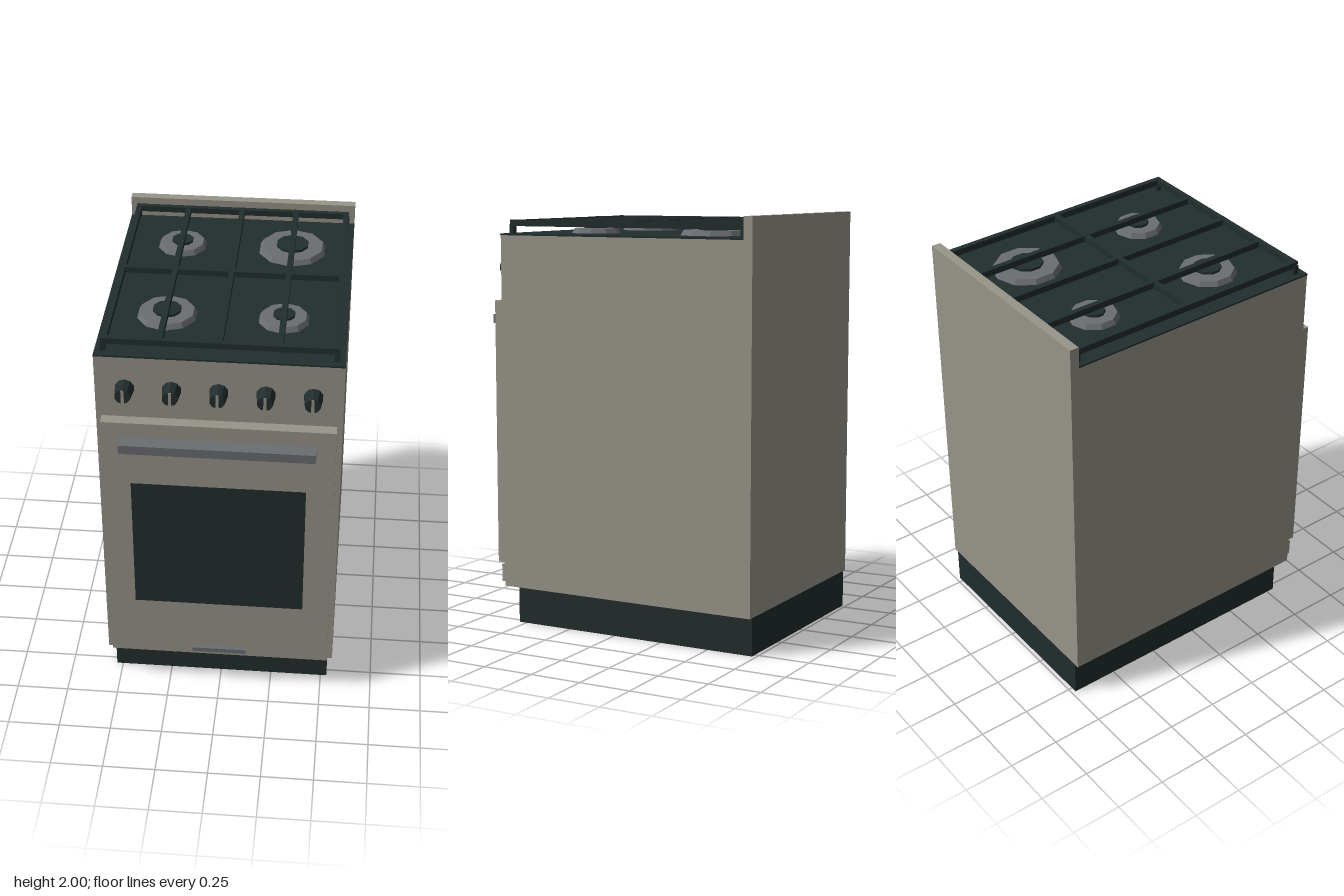
import * as THREE from 'three';

export function createModel() {
  const model = new THREE.Group();
  model.name = 'gasStove';

  const material = (name, color, side = THREE.FrontSide) => {
    const m = new THREE.MeshStandardMaterial({ color, side });
    m.name = name;
    return m;
  };
  const enamel = material('warm grey enamel', 0x98958a);
  const dark = material('dark enamel', 0x222d2d);
  const metal = material('grey metal', 0x6b6e72);

  const add = (name, geometry, mat, parent = model) => {
    const mesh = new THREE.Mesh(geometry, mat);
    mesh.name = name;
    parent.add(mesh);
    return mesh;
  };
  // Box given by its minimum and maximum on each axis
  const box = (name, mat, x0, x1, y0, y1, z0, z1, parent) => {
    const mesh = add(name, new THREE.BoxGeometry(x1 - x0, y1 - y0, z1 - z0), mat, parent);
    mesh.position.set((x0 + x1) / 2, (y0 + y1) / 2, (z0 + z1) / 2);
    return mesh;
  };
  const group = (name) => {
    const g = new THREE.Group();
    g.name = name;
    model.add(g);
    return g;
  };

  // Cabinet, rear ledge and cooktop
  box('cabinet', enamel, -0.555, 0.555, 0.18, 1.895, -0.73, 0.605);
  box('rearLedge', enamel, -0.555, 0.555, 1.895, 2, -0.73, -0.685);
  box('cooktop', dark, -0.555, 0.555, 1.895, 1.903, -0.685, 0.608);

  // Plinth: thin walls, open underneath
  const plinth = group('plinth');
  const t = 0.004;
  for (const s of [-1, 1]) {
    const wall = box('plinthSide', dark, -t / 2, t / 2, 0, 0.18, -0.73, 0.54, plinth);
    wall.position.x = s * (0.53 - t / 2);
  }
  box('plinthFront', dark, -0.53 + t, 0.53 - t, 0, 0.18, 0.54 - t, 0.54, plinth);
  box('plinthBack', dark, -0.53 + t, 0.53 - t, 0, 0.18, -0.73, -0.73 + t, plinth);
  box('plinthCeiling', dark, -0.53 + t, 0.53 - t, 0.175, 0.18, -0.73 + t, 0.54 - t, plinth);

  // Oven door and lower drawer
  box('ovenDoor', enamel, -0.53, 0.53, 0.29, 1.58, 0.605, 0.66);
  box('ovenWindow', dark, -0.402, 0.402, 0.54, 1.245, 0.66, 0.663);
  box('ovenHandle', metal, -0.443, 0.443, 1.46, 1.505, 0.66, 0.73);
  box('drawer', enamel, -0.53, 0.53, 0.195, 0.28, 0.605, 0.64);
  box('drawerHandle', metal, -0.13, 0.13, 0.228, 0.252, 0.64, 0.664);

  // Control knobs with a pale pointer stripe
  const knobShape = new THREE.CylinderGeometry(0.036, 0.044, 0.075, 10).toNonIndexed();
  knobShape.computeVertexNormals();
  knobShape.rotateX(Math.PI / 2);
  for (let i = -2; i <= 2; i++) {
    const knob = group('knob');
    knob.position.set(i * 0.21, 1.735, 0.605);
    add('knobBody', knobShape, dark, knob).position.z = 0.0375;
    box('knobPointer', enamel, -0.007, 0.007, -0.034, 0.034, 0.075, 0.078, knob);
  }

  // Burners: faceted ring with a dark cap
  const faceted = (rTop, rBottom, height) => {
    const g = new THREE.CylinderGeometry(rTop, rBottom, height, 10).toNonIndexed();
    g.computeVertexNormals();
    return g;
  };
  const burners = [
    [-0.267, -0.4, 0.119, 0.051],
    [0.265, -0.4, 0.165, 0.078],
    [-0.267, 0.245, 0.14, 0.066],
    [0.265, 0.245, 0.119, 0.051],
  ];
  for (const [x, z, r, capR] of burners) {
    const burner = group('burner');
    burner.position.set(x, 1.903, z);
    add('burnerRing', faceted(r - 0.014, r, 0.024), metal, burner).position.y = 0.012;
    add('burnerCap', faceted(capR, capR, 0.012), dark, burner).position.y = 0.03;
  }

  // Pan support: frame, cross bars and corner legs
  const grate = group('panSupport');
  const y0 = 1.938, y1 = 1.968, half = 0.525, back = -0.683, front = 0.57, w = 0.026;
  for (const x of [-half + w / 2, -0.266, 0, 0.266, half - w / 2])
    box('lengthBar', dark, x - w / 2, x + w / 2, y0, y1, back, front, grate);
  for (const z of [back + w / 2, -0.065, front - w / 2])
    box('crossBar', dark, -half, half, y0 + 0.001, y1 - 0.001, z - w / 2, z + w / 2, grate);
  for (const x of [-half + 0.008, half - 0.008])
    for (const z of [back + 0.012, front - 0.01])
      box('grateLeg', dark, x - 0.012, x + 0.012, 1.9, y0 + 0.01, z - 0.012, z + 0.012, grate);

  return model;
}
